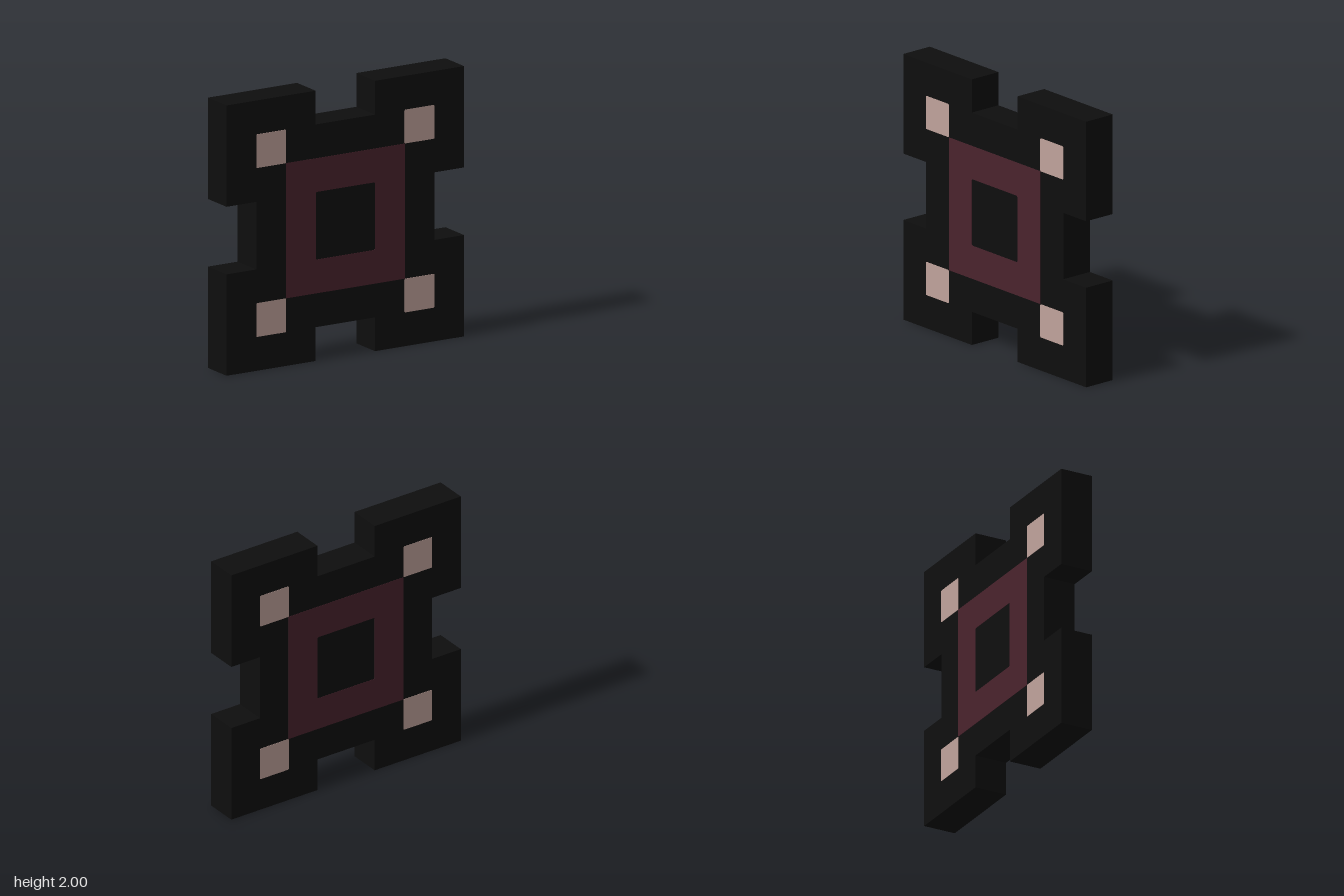
import * as THREE from 'three';

const black = new THREE.MeshStandardMaterial({ name: 'black', color: 0x0e0e0e });
const maroon = new THREE.MeshStandardMaterial({ name: 'maroon', color: 0x4a232d });
const pink = new THREE.MeshStandardMaterial({ name: 'dusty pink', color: 0xc1a39c });

const HALF_DEPTH = 0.125;
const PLATE = 0.002;

// Square path of half-size h, with slightly rounded corners when r > 0
function square(path, h, r = 0) {
  if (r === 0) {
    path.moveTo(-h, -h).lineTo(h, -h).lineTo(h, h).lineTo(-h, h);
  } else {
    path.absarc(h - r, h - r, r, 0, Math.PI / 2);
    path.absarc(r - h, h - r, r, Math.PI / 2, Math.PI);
    path.absarc(r - h, r - h, r, Math.PI, Math.PI * 1.5);
    path.absarc(h - r, r - h, r, Math.PI * 1.5, Math.PI * 2);
  }
  path.closePath();
  return path;
}

function extrude(shape, depth) {
  return new THREE.ExtrudeGeometry(shape, { depth, bevelEnabled: false, curveSegments: 3 })
    .translate(0, 0, -depth / 2);
}

function addMesh(group, name, geometry, material, x, y, z) {
  const mesh = new THREE.Mesh(geometry, material);
  mesh.name = name;
  mesh.position.set(x, y, z);
  group.add(mesh);
}

export function createModel() {
  const group = new THREE.Group();
  group.name = 'notchedTile';

  // Square slab with a notch in the middle of each edge
  const edge = [[-1, -1], [-0.25, -1], [-0.25, -0.75], [0.25, -0.75], [0.25, -1]];
  const outline = [];
  for (let i = 0; i < 4; i++) {
    for (const [x, y] of edge) {
      outline.push(new THREE.Vector2(x, y).rotateAround(new THREE.Vector2(), i * Math.PI / 2));
    }
  }
  addMesh(group, 'body', extrude(new THREE.Shape(outline), HALF_DEPTH * 2), black, 0, 1, 0);

  // Square frame and corner inlays, on both faces
  const frameShape = square(new THREE.Shape(), 0.5);
  frameShape.holes.push(square(new THREE.Path(), 0.25, 0.012));
  const frame = extrude(frameShape, PLATE);
  const inlay = extrude(square(new THREE.Shape(), 0.125, 0.008), PLATE);
  for (const [side, s] of [['front', 1], ['back', -1]]) {
    const z = s * (HALF_DEPTH + PLATE / 2);
    addMesh(group, side + 'Frame', frame, maroon, 0, 1, z);
    for (const x of [-0.625, 0.625]) {
      for (const y of [0.375, 1.625]) {
        const place = (y > 1 ? 'Upper' : 'Lower') + (x > 0 ? 'Left' : 'Right');
        addMesh(group, side + place + 'Inlay', inlay, pink, x, y, z);
      }
    }
  }
  return group;
}
